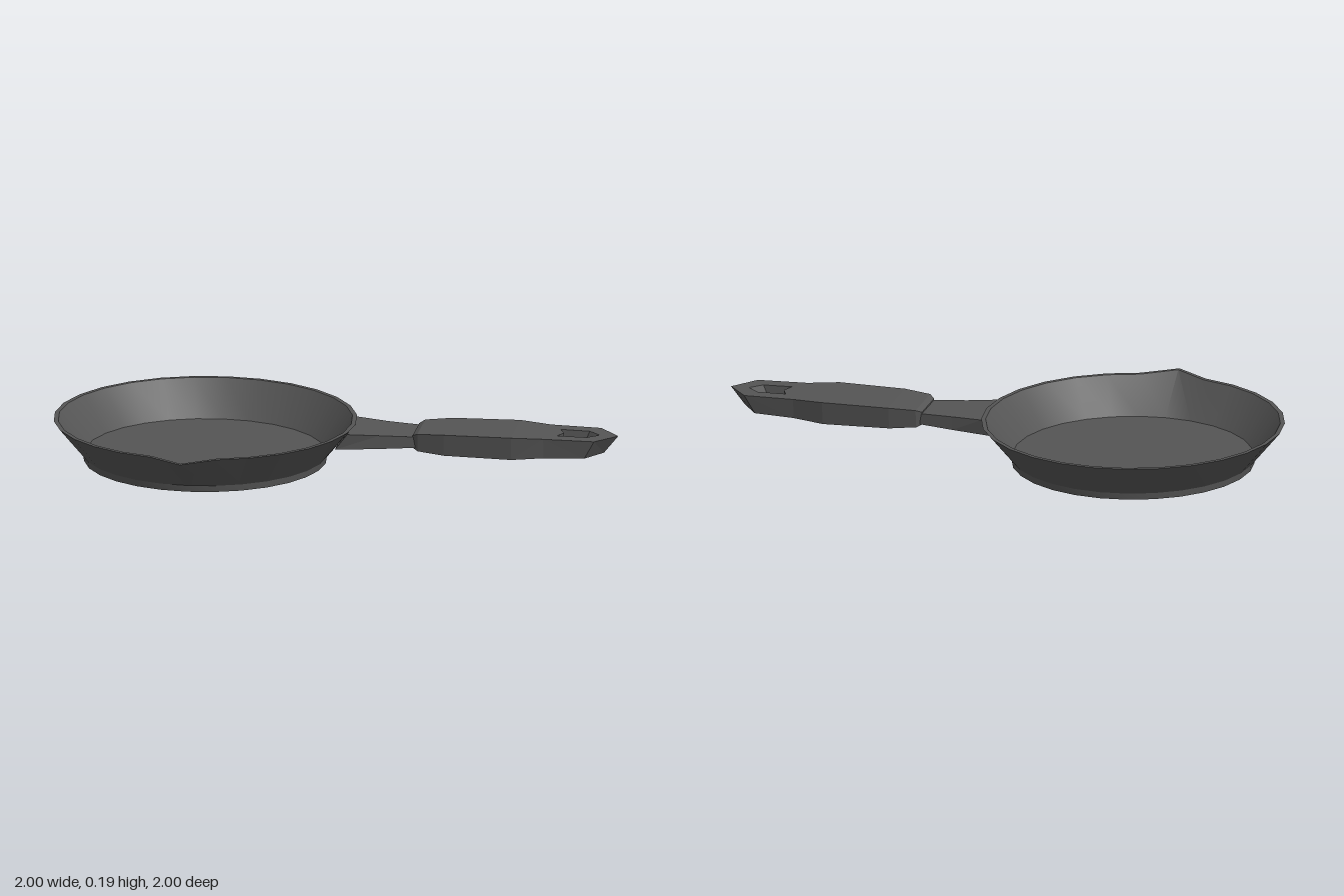
import * as THREE from 'three';
import { toCreasedNormals } from 'three/addons/utils/BufferGeometryUtils.js';

const COLOR = 0x555555;
const smooth = new THREE.MeshStandardMaterial({ color: COLOR });
const faceted = new THREE.MeshStandardMaterial({ color: COLOR, flatShading: true });

function mesh(name, geometry, material) {
  const m = new THREE.Mesh(geometry, material);
  m.name = name;
  return m;
}

// Apply a rule to every vertex of a geometry
function reshape(geometry, rule) {
  const p = geometry.attributes.position;
  const v = new THREE.Vector3();
  for (let i = 0; i < p.count; i++) {
    rule(v.fromBufferAttribute(p, i));
    p.setXYZ(i, v.x, v.y, v.z);
  }
  geometry.computeVertexNormals();
  return geometry;
}

// Four-sided bar through sections [along, halfWidth, bottomY, topY, bottomShift]
function bar(sections, bottomScale) {
  const n = sections.length - 1;
  return reshape(new THREE.BoxGeometry(1, 1, 1, n, 1, 1), (v) => {
    const [t, w, y0, y1, shift = 0] = sections[Math.round((v.x + 0.5) * n)];
    const low = v.y < 0;
    v.set(t + (low ? shift : 0), low ? y0 : y1, Math.sign(v.z) * w * (low ? bottomScale : 1));
  });
}

// Round 28-sided bowl with a foot, sloping wall and thin rim; one rim corner pulled out as a spout
function bowl() {
  const profile = [[0, 0], [0.54, 0], [0.545, 0.03], [0.675, 0.187], [0.655, 0.187], [0.535, 0.03], [0, 0.03]]
    .map(([r, y]) => new THREE.Vector2(r, y));
  const g = new THREE.LatheGeometry(profile, 28, Math.PI / 28);
  reshape(g, (v) => {
    if (v.y > 0.1 && Math.abs(v.x + v.z) < 0.01 && v.z > 0) {
      v.x -= 0.063;
      v.z += 0.063;
    }
  });
  return toCreasedNormals(g, 0.5);
}

// Pointed handle end with a hanging hole, narrowing towards its underside
function handleEnd() {
  const start = 1.534;
  const points = (list) => list.map(([t, w]) => new THREE.Vector2(t, w));
  const shape = new THREE.Shape(points([[start, -0.12], [1.761, -0.113], [1.853, 0], [1.761, 0.113], [start, 0.12]]));
  shape.holes.push(new THREE.Path(points(
    [[1.61, 0], [1.587, 0.052], [1.718, 0.05], [1.77, 0], [1.718, -0.05], [1.587, -0.052]])));
  const g = new THREE.ExtrudeGeometry(shape, { depth: 1, bevelEnabled: false });
  g.rotateX(-Math.PI / 2);
  return reshape(g, (v) => {
    const k = (v.x - start) / 0.319;
    if (v.y > 0.5) v.y = 0.188 - 0.006 * k;
    else v.set(start + (v.x - start) * 0.8, 0.097 + 0.006 * k, v.z * 0.9);
  });
}

export function createModel() {
  const model = new THREE.Group();
  model.name = 'fryingPan';

  const pan = new THREE.Group();
  pan.name = 'pan';
  pan.position.set(-0.33, 0, -0.33);
  model.add(pan);
  pan.add(mesh('bowl', bowl(), smooth));

  // Handle runs along local x, then is turned to the diagonal
  const handle = new THREE.Group();
  handle.name = 'handle';
  handle.rotation.y = -Math.PI / 4;
  pan.add(handle);

  const neck = [[0.658, 0.148, 0.108, 0.18, -0.055], [0.8, 0.12, 0.112, 0.173], [0.955, 0.1, 0.118, 0.168]];
  const grip = [
    [0.945, 0.1, 0.115, 0.175], [0.969, 0.12, 0.105, 0.187], [1.089, 0.141, 0.095, 0.194],
    [1.393, 0.148, 0.09, 0.195], [1.534, 0.12, 0.097, 0.188],
  ];
  handle.add(
    mesh('neck', bar(neck, 1), faceted),
    mesh('grip', bar(grip, 0.9), faceted),
    mesh('handleEnd', handleEnd(), faceted),
  );
  return model;
}
